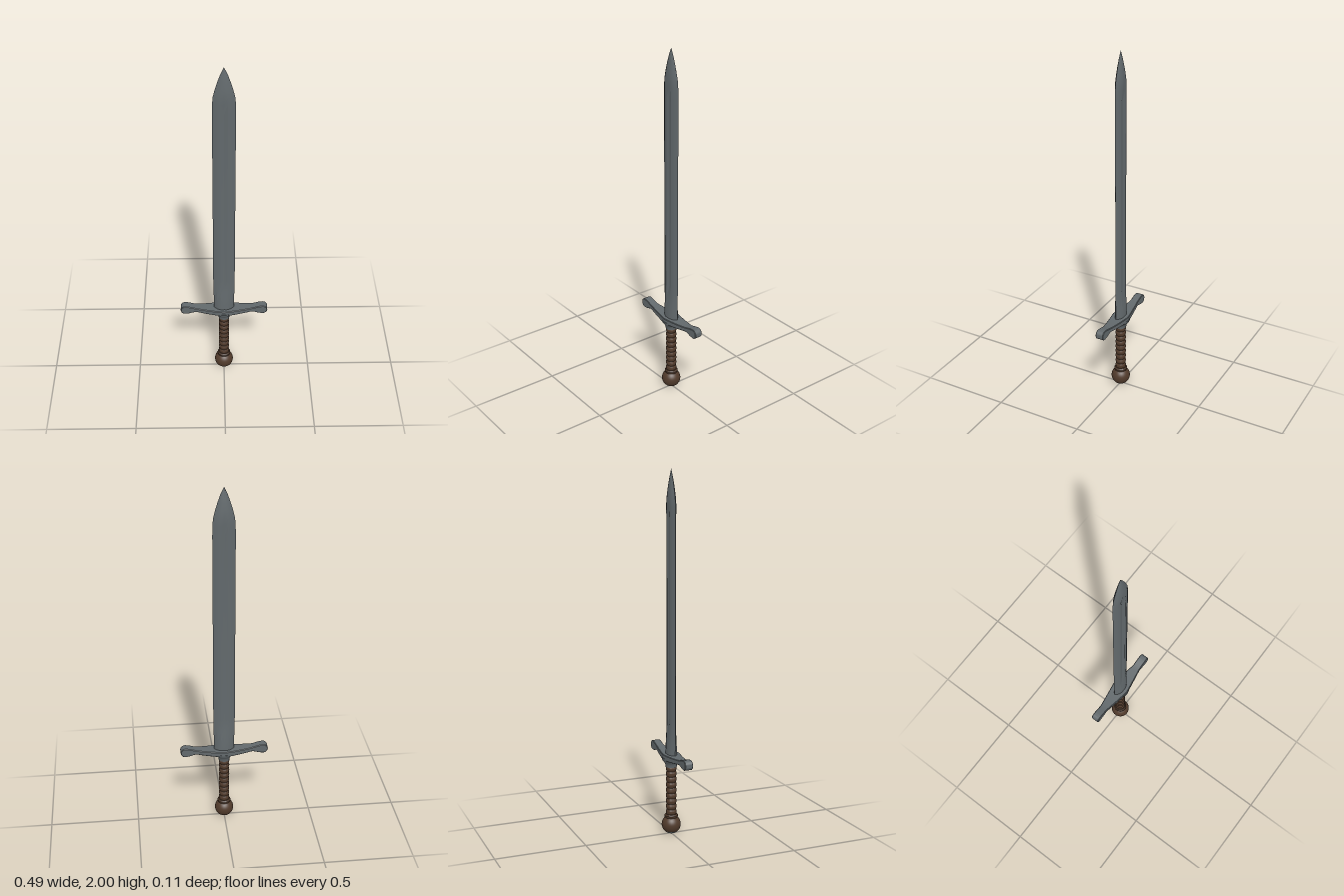
import * as THREE from 'three';
import { toCreasedNormals } from 'three/addons/utils/BufferGeometryUtils.js';

const steel = new THREE.MeshStandardMaterial({ name: 'steel', color: 0x62696c });
const leather = new THREE.MeshStandardMaterial({ name: 'brown leather', color: 0x503a2b });

// Skins a list of closed rings (each turning right-handed about the travel direction)
function loft(rings, crease) {
  const n = rings[0].length;
  const index = [];
  for (let i = 0; i < rings.length - 1; i++) {
    for (let j = 0; j < n; j++) {
      const a = i * n + j, b = i * n + (j + 1) % n;
      index.push(a, b, b + n, a, b + n, a + n);
    }
  }
  const last = (rings.length - 1) * n;
  for (let j = 1; j < n - 1; j++) {
    index.push(0, j + 1, j, last, last + j, last + j + 1);
  }
  const geometry = new THREE.BufferGeometry();
  geometry.setAttribute('position', new THREE.Float32BufferAttribute(rings.flat(2), 3));
  geometry.setIndex(index);
  return toCreasedNormals(geometry, crease);
}

function lathe(points, segments = 32) {
  const profile = points.map(([r, y]) => new THREE.Vector2(r, y));
  return toCreasedNormals(new THREE.LatheGeometry(profile, segments), 0.7);
}

export function createModel() {
  const sword = new THREE.Group();
  sword.name = 'sword';
  const add = (name, geometry, material) => {
    const mesh = new THREE.Mesh(geometry, material);
    mesh.name = name;
    sword.add(mesh);
    return mesh;
  };

  // Blade: height, half width, half thickness, thickness along the middle groove
  const stations = [
    [0.44, 0.056, 0.026, 0.026], [0.52, 0.057, 0.024, 0.024], [0.58, 0.059, 0.018, 0.015],
    [0.66, 0.06, 0.016, 0.011], [1.74, 0.06, 0.016, 0.011], [1.8, 0.059, 0.018, 0.015],
    [1.84, 0.055, 0.018, 0.018], [1.88, 0.045, 0.015, 0.016], [1.92, 0.033, 0.011, 0.012],
    [1.96, 0.019, 0.006, 0.008], [2, 0.0005, 0.0005, 0.0005],
  ];
  const blade = stations.map(([y, w, t, groove]) => {
    const back = [[1, 0], [0.68, 0.68 * t], [0.32, t], [0, groove], [-0.32, t], [-0.68, 0.68 * t]];
    const half = back.map(([x, z]) => [x * w, y, -z]);
    return [...half, ...half.map(([x, , z]) => [-x, y, -z])];
  });
  add('blade', loft(blade, 0.45), steel);

  // Crossguard: wide in the middle, narrow arms that rise and flare into the ends
  const guard = [];
  for (let i = -17; i <= 17; i++) {
    const x = i * 0.0125;
    const k = Math.min(Math.abs(x) / 0.16, 1);
    const flare = THREE.MathUtils.smoothstep(Math.abs(x), 0.15, 0.215);
    const depth = 0.049 - 0.026 * k;
    const mid = 0.442 + 0.011 * k * k;
    const h = 0.0165 - 0.004 * k + 0.0135 * flare;
    const c = 0.003;
    guard.push([
      [x, mid - h, -depth + c], [x, mid - h + c, -depth], [x, mid + h - c, -depth], [x, mid + h, -depth + c],
      [x, mid + h, depth - c], [x, mid + h - c, depth], [x, mid - h + c, depth], [x, mid - h, depth - c],
    ]);
  }
  add('crossguard', loft(guard, 0.6), steel);

  // Rolled ends of the crossguard
  const rollShape = [[0, -0.023], [0.024, -0.023], [0.027, -0.02], [0.027, 0.02], [0.024, 0.023], [0, 0.023]];
  for (const side of [-1, 1]) {
    const roll = add(side > 0 ? 'leftGuardEnd' : 'rightGuardEnd', lathe(rollShape, 24), steel);
    roll.rotation.x = Math.PI / 2;
    roll.position.set(side * 0.22, 0.453, 0);
  }

  // Collar below the guard
  add('collar', lathe([
    [0, 0.385], [0.031, 0.385], [0.033, 0.4], [0.038, 0.411], [0.045, 0.419], [0.051, 0.428], [0.052, 0.438], [0, 0.438],
  ]), steel);

  // Wrapped grip with rounded ribs
  const grip = [];
  const ribs = 9, steps = 8, bottom = 0.11, top = 0.392;
  for (let i = 0; i <= ribs * steps; i++) {
    const bulge = Math.abs(Math.sin(i / steps * Math.PI));
    grip.push([0.025 + 0.005 * bulge, bottom + (top - bottom) * i / (ribs * steps)]);
  }
  add('grip', lathe(grip), leather);
  add('pommelRing', lathe([
    [0, 0.092], [0.033, 0.092], [0.037, 0.099], [0.037, 0.106], [0.031, 0.113], [0, 0.113],
  ]), leather);

  // Pommel ball with a steel cap beneath
  const capStart = Math.PI * 0.73;
  const ball = add('pommel', new THREE.SphereGeometry(0.053, 32, 18, 0, Math.PI * 2, 0, capStart), leather);
  const cap = add('pommelCap', new THREE.SphereGeometry(0.053, 32, 6, 0, Math.PI * 2, capStart, Math.PI - capStart), steel);
  ball.position.y = cap.position.y = 0.053;

  return sword;
}
